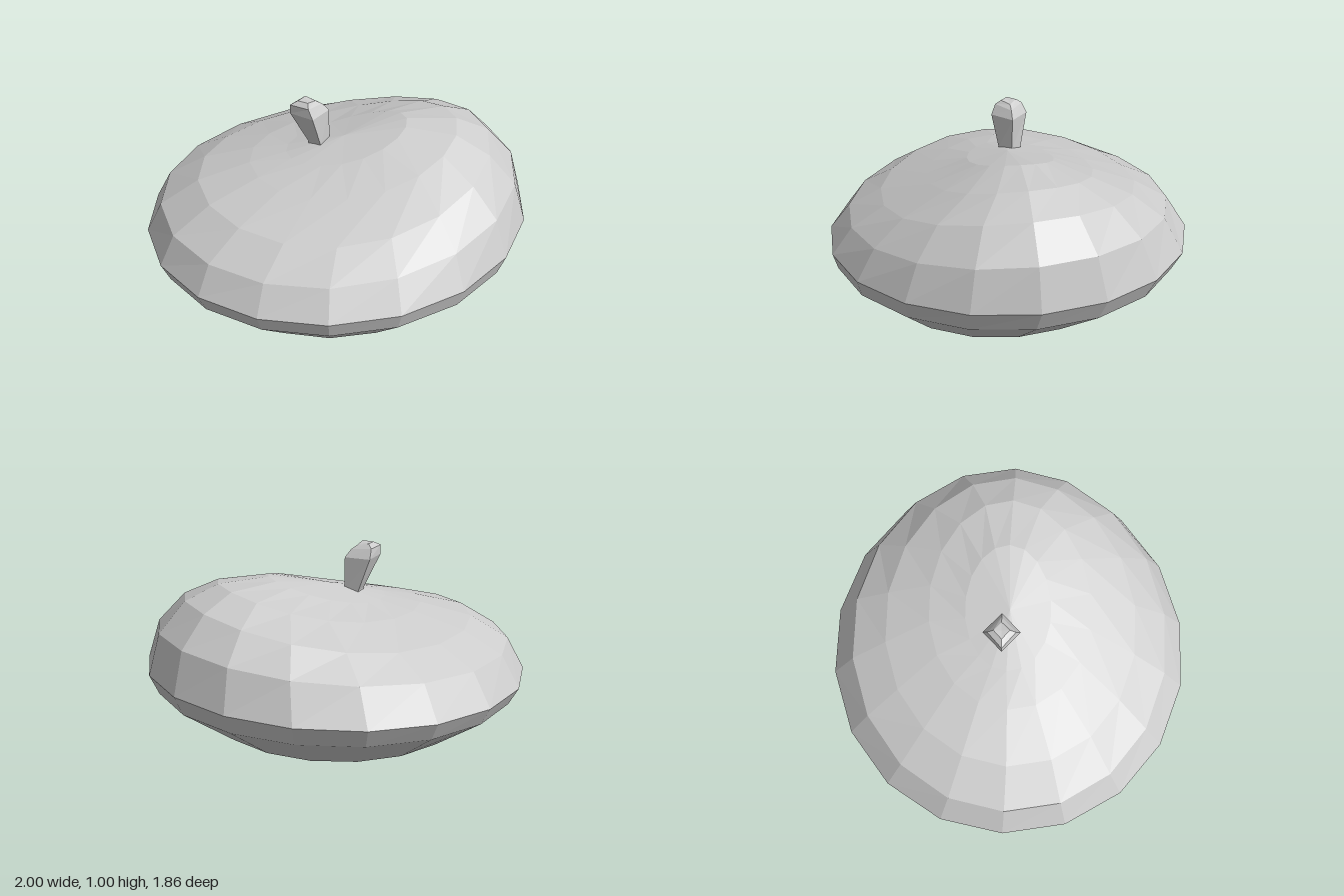
import * as THREE from 'three';

const material = new THREE.MeshStandardMaterial({ color: 0xcccccc, flatShading: true, side: THREE.DoubleSide });

// Each ring lists its extent and height at four sides:
// [x right, y] [x left, y] [z front, y] [z back, y], blended smoothly round the loop.
function ringPoint([xr, yr, xl, yl, zf, yf, zb, yb], angle) {
  const c = Math.cos(angle), s = Math.sin(angle);
  return [
    (xr + xl) / 2 + (xr - xl) / 2 * c,
    (yr + yl + yf + yb) / 4 + (yr - yl) / 2 * c + (yf - yb) / 2 * s
      + (yr + yl - yf - yb) / 4 * Math.cos(2 * angle),
    (zf + zb) / 2 + (zf - zb) / 2 * s,
  ];
}

// A ring shrunk to one point, to close a surface
const tip = (x, y, z) => [x, y, x, y, z, y, z, y];
// A level ring
const level = (x, y, z, rx, rz) => [x + rx, y, x - rx, y, z + rz, y, z - rz, y];

// Skin a list of rings with facets
function loft(name, rings, sides, start) {
  const positions = [], index = [];
  for (const ring of rings) {
    for (let i = 0; i < sides; i++) {
      positions.push(...ringPoint(ring, start + i / sides * Math.PI * 2));
    }
  }
  for (let r = 0; r < rings.length - 1; r++) {
    for (let i = 0; i < sides; i++) {
      const j = (i + 1) % sides;
      const a = r * sides + i, b = r * sides + j, c = a + sides, d = b + sides;
      index.push(a, c, b, b, c, d);
    }
  }
  const geometry = new THREE.BufferGeometry();
  geometry.setAttribute('position', new THREE.Float32BufferAttribute(positions, 3));
  geometry.setIndex(index);
  geometry.computeVertexNormals();
  const mesh = new THREE.Mesh(geometry, material);
  mesh.name = name;
  return mesh;
}

export function createModel() {
  const group = new THREE.Group();
  group.name = 'beret';
  const sides = 18, start = 0.03;

  const opening = [0.5, 0.02, -0.55, 0, 0.56, 0.015, -0.48, 0.015];
  const rim = [1.0, 0.4, -1.0, 0.31, 0.935, 0.33, -0.945, 0.35];

  // Recess for the head
  group.add(loft('headOpening', [
    tip(-0.03, 0.23, 0.04),
    [0.43, 0.24, -0.49, 0.22, 0.49, 0.23, -0.41, 0.23],
    opening,
  ], sides, start));

  // Underside, from the opening out to the rim
  group.add(loft('underside', [
    opening,
    [0.57, 0.025, -0.61, 0, 0.62, 0.018, -0.54, 0.015],
    [0.65, 0.06, -0.69, 0.03, 0.69, 0.04, -0.6, 0.04],
    [0.95, 0.29, -0.955, 0.22, 0.91, 0.245, -0.89, 0.25],
    rim,
  ], sides, start));

  // Soft crown, puffed up on one side
  group.add(loft('crown', [
    rim,
    [0.94, 0.615, -0.92, 0.47, 0.83, 0.47, -0.83, 0.52],
    [0.8, 0.77, -0.72, 0.6, 0.66, 0.58, -0.65, 0.62],
    [0.63, 0.845, -0.45, 0.68, 0.42, 0.69, -0.42, 0.71],
    [0.37, 0.86, -0.26, 0.72, 0.21, 0.765, -0.23, 0.755],
    tip(0.04, 0.795, 0),
  ], sides, start));

  // Leaning four-sided stalk
  group.add(loft('stalk', [
    level(-0.08, 0.7, -0.035, 0.05, 0.05),
    level(-0.085, 0.76, -0.035, 0.055, 0.058),
    level(-0.13, 0.93, -0.04, 0.1, 0.093),
    [-0.065, 0.97, -0.23, 0.978, 0.03, 0.98, -0.11, 0.98],
    [-0.1, 0.99, -0.19, 0.998, 0, 1, -0.08, 1],
    tip(-0.145, 0.997, -0.04),
  ], 4, 0));

  return group;
}
